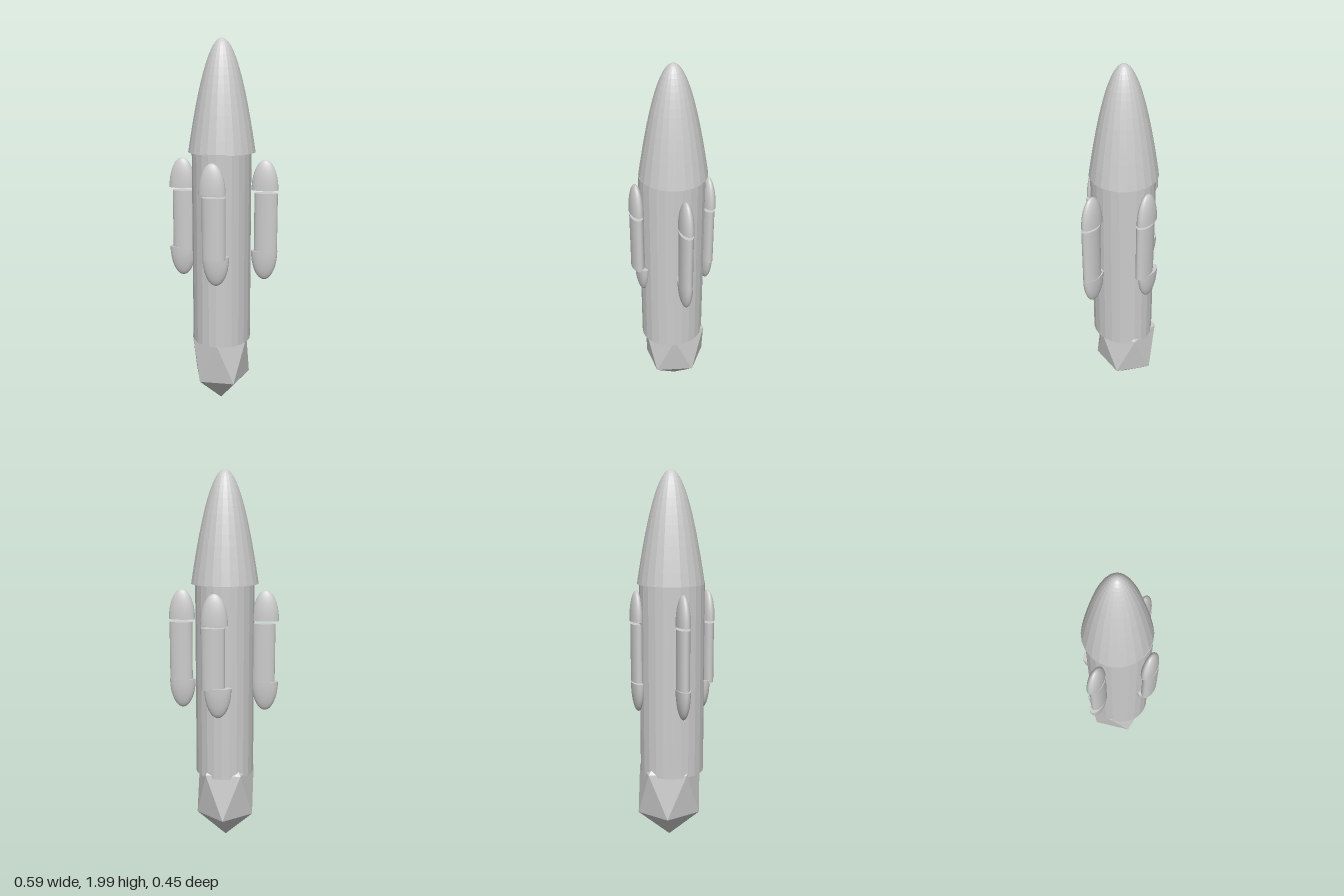
import * as THREE from 'three';

const smooth = new THREE.MeshStandardMaterial({ color: 0xcccccc, side: THREE.DoubleSide });
const flat = new THREE.MeshStandardMaterial({ color: 0xcccccc, flatShading: true, side: THREE.DoubleSide });

function add(parent, name, geometry, material, position, scale = [1, 1, 1]) {
  const mesh = new THREE.Mesh(geometry, material);
  mesh.name = name;
  mesh.position.set(...position);
  mesh.scale.set(...scale);
  parent.add(mesh);
  return mesh;
}

// Pointed nose: parabolic profile, closed underneath
function noseGeometry(radius, height) {
  const profile = [new THREE.Vector2(0, 0)];
  const steps = 16;
  for (let i = 0; i <= steps; i++) {
    const t = 1 - i / steps;
    profile.push(new THREE.Vector2(radius * t, height * (1 - t * t)));
  }
  return new THREE.LatheGeometry(profile, 24);
}

// Unit half ball with a flat base, dome upwards
function domeGeometry() {
  const profile = [new THREE.Vector2(0, 0), new THREE.Vector2(1, 0)];
  for (let i = 0; i <= 12; i++) {
    const a = (i / 12) * Math.PI / 2;
    profile.push(new THREE.Vector2(Math.cos(a), Math.sin(a)));
  }
  profile[profile.length - 1].x = 0;
  return new THREE.LatheGeometry(profile, 32);
}

// Icosahedron standing on one corner, with a ring corner facing -z below
function nozzleGeometry() {
  const up = 1 / Math.sqrt(5), ring = 2 / Math.sqrt(5);
  const points = [0, 1, 0, 0, -1, 0];
  for (let i = 0; i < 5; i++) {
    const a = (i * 2 * Math.PI) / 5;
    points.push(ring * Math.sin(a), up, ring * Math.cos(a));
    points.push(ring * Math.sin(a + Math.PI / 5), -up, ring * Math.cos(a + Math.PI / 5));
  }
  const faces = [];
  for (let i = 0; i < 5; i++) {
    const u = 2 + 2 * i, l = u + 1;
    const un = 2 + 2 * ((i + 1) % 5), ln = un + 1;
    faces.push(0, u, un, u, l, un, un, l, ln, 1, ln, l);
  }
  const g = new THREE.BufferGeometry();
  g.setAttribute('position', new THREE.Float32BufferAttribute(points, 3));
  g.setIndex(faces);
  const split = g.toNonIndexed();
  split.computeVertexNormals();
  return split;
}

export function createModel() {
  const model = new THREE.Group();
  model.name = 'rocket';

  add(model, 'noseCone', noseGeometry(0.178, 0.58), flat, [-0.01, 1.42, -0.011]);
  add(model, 'body', new THREE.CylinderGeometry(1, 1, 1.035, 24), flat,
    [-0.01, 0.9075, -0.005], [0.157, 1, 0.174]);
  add(model, 'nozzle', nozzleGeometry(), flat, [-0.017, 0.283, -0.023], [0.178, 0.276, 0.198]);

  // Four boosters; x and z of the upper cap, tube and lower cap
  const boosters = [
    ['leftBooster', [0.222, 0.006], [0.229, 0.008], [0.222, 0.007]],
    ['rightBooster', [-0.226, -0.011], [-0.217, -0.009], [-0.226, -0.01]],
    ['frontBooster', [-0.027, 0.186], [-0.018, 0.189], [-0.012, 0.167]],
    ['backBooster', [0.026, -0.19], [0.033, -0.186], [0.008, -0.19]],
  ];
  const dome = domeGeometry();
  const tube = new THREE.CylinderGeometry(1, 1, 1, 32);
  for (const [name, top, mid, low] of boosters) {
    const booster = new THREE.Group();
    booster.name = name;
    add(booster, 'upperCap', dome, smooth, [top[0], 1.225, top[1]], [0.071, 0.16, 0.035]);
    add(booster, 'tube', tube, smooth, [mid[0], 1.0475, mid[1]], [0.062, 0.325, 0.033]);
    const lower = add(booster, 'lowerCap', dome, smooth, [low[0], 0.897, low[1]], [0.071, 0.16, 0.035]);
    lower.rotation.x = Math.PI;
    model.add(booster);
  }
  return model;
}
